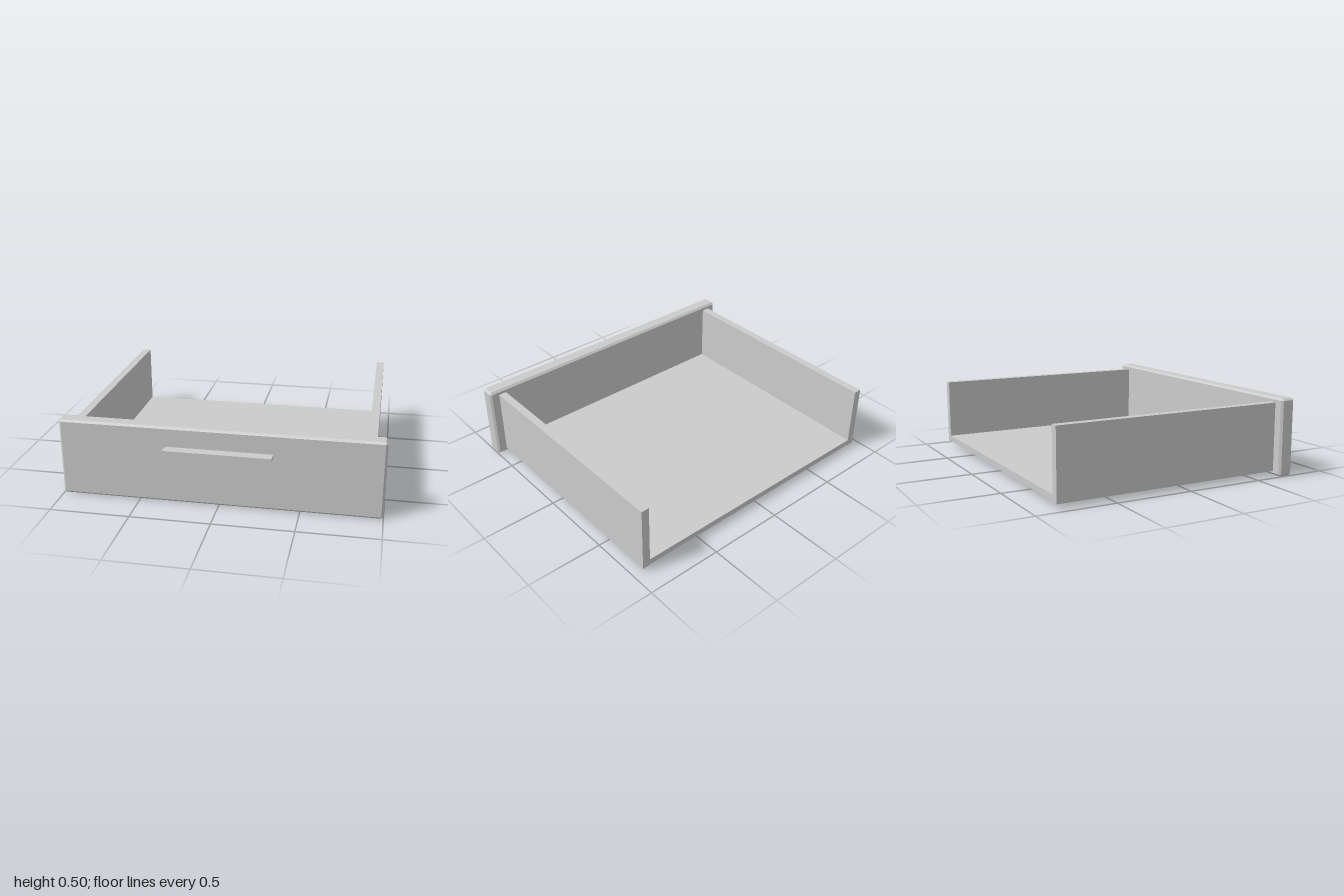
import * as THREE from 'three';
import { ConvexGeometry } from 'three/addons/geometries/ConvexGeometry.js';

// Box with every edge chamfered by c
function chamferBox(w, h, d, c) {
  const pts = [];
  for (const sx of [-1, 1]) for (const sy of [-1, 1]) for (const sz of [-1, 1]) {
    const [x, y, z] = [sx * w / 2, sy * h / 2, sz * d / 2];
    pts.push(
      new THREE.Vector3(x, y - sy * c, z - sz * c),
      new THREE.Vector3(x - sx * c, y, z - sz * c),
      new THREE.Vector3(x - sx * c, y - sy * c, z));
  }
  return new ConvexGeometry(pts);
}

export function createModel() {
  const group = new THREE.Group();
  const material = new THREE.MeshStandardMaterial({ color: 0xcccccc, flatShading: true });
  const add = (name, geometry, x, y, z) => {
    const mesh = new THREE.Mesh(geometry, material);
    mesh.name = name;
    mesh.position.set(x, y, z);
    group.add(mesh);
  };

  // Front panel
  add('frontPanel', chamferBox(2, 0.497, 0.098, 0.013), 0, 0.2485, 0.716);

  // Side walls, open at the back
  const back = -0.845, front = 0.668;
  const depth = front - back, midZ = (front + back) / 2;
  for (const [name, s] of [['leftSide', 1], ['rightSide', -1]]) {
    add(name, new THREE.BoxGeometry(0.052, 0.44, depth), s * 0.91, 0.246, midZ);
  }

  // Floor between the sides
  add('bottomPanel', new THREE.BoxGeometry(1.768, 0.04, depth), 0, 0.05, midZ);

  // Handle: thin web flaring into a thicker grip, given as (z, y) section
  const section = new THREE.Shape([
    [0.76, 0.359], [0.795, 0.359], [0.808, 0.351], [0.845, 0.351],
    [0.845, 0.377], [0.808, 0.377], [0.795, 0.37], [0.76, 0.37],
  ].map(([z, y]) => new THREE.Vector2(-z, y)));
  const handle = new THREE.ExtrudeGeometry(section, { depth: 0.66, bevelEnabled: false });
  handle.rotateY(Math.PI / 2);
  add('handle', handle, -0.325, 0, 0);

  return group;
}
